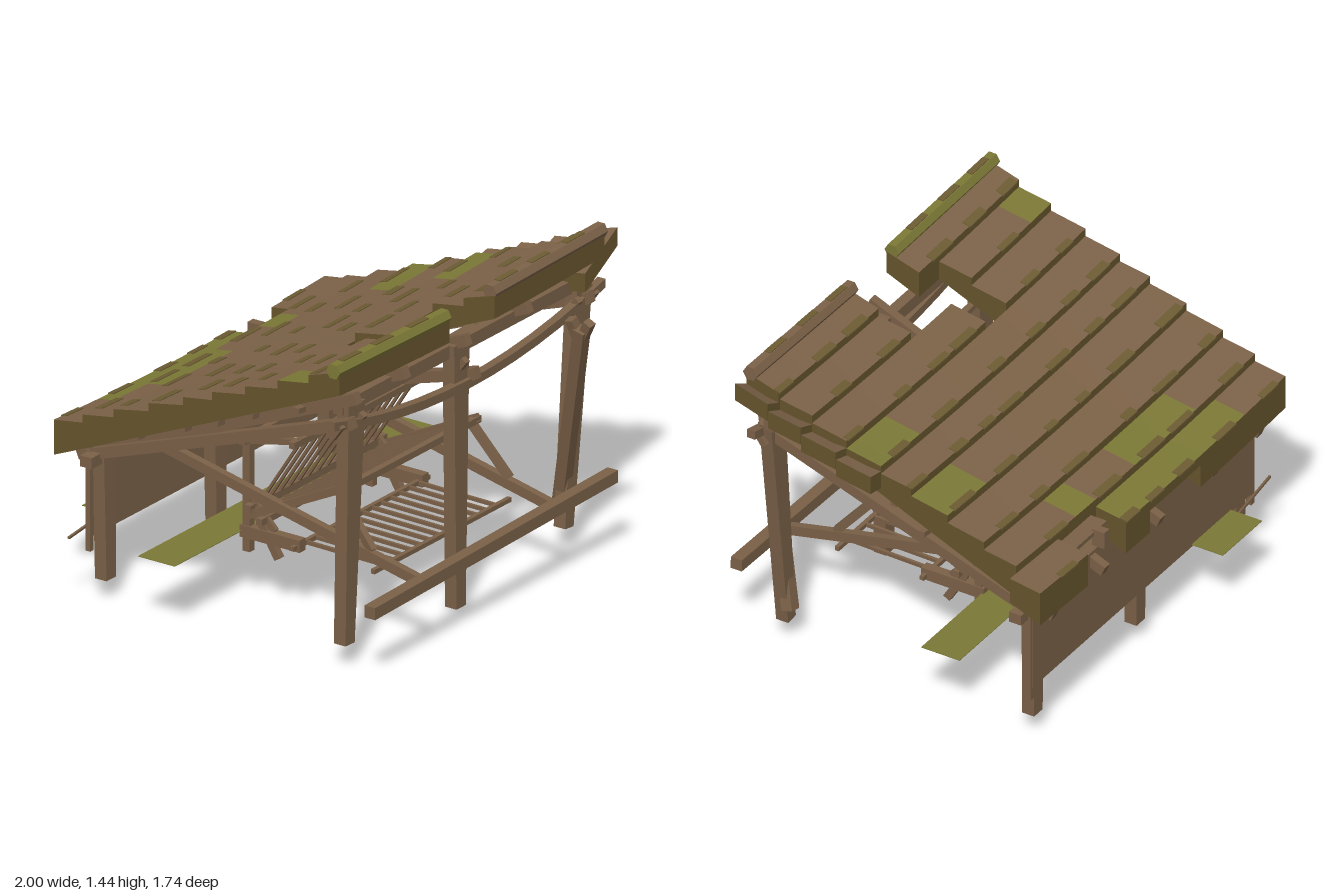
import * as THREE from 'three';

export function createModel() {
  const model = new THREE.Group();
  const mat = (name, color, side = THREE.FrontSide) => {
    const m = new THREE.MeshStandardMaterial({ color, side });
    m.name = name;
    return m;
  };
  const wood = mat('weathered wood', 0x7a6047);
  const roofTop = mat('roof shingle', 0x7c6248);
  const edge = mat('roof edge', 0x65532c);
  const under = mat('roof underside', 0x5c4833);
  const moss = mat('moss', 0x7b7836, THREE.DoubleSide);
  const stain = mat('moss stain', 0x6c5c33);

  const add = (name, geo, material) => {
    const m = new THREE.Mesh(geo, material);
    m.name = name;
    model.add(m);
    return m;
  };
  const V = (p) => new THREE.Vector3(...p);
  const UP = new THREE.Vector3(0, 1, 0);

  // Straight timber between two points; "taper" scales the width at the start
  function beam(name, a, b, w, d, taper = 1) {
    const A = V(a), B = V(b), dir = B.clone().sub(A);
    const geo = new THREE.BoxGeometry(w, dir.length(), d);
    const p = geo.attributes.position;
    for (let i = 0; i < p.count; i++) if (p.getY(i) < 0) p.setX(i, p.getX(i) * taper);
    geo.computeVertexNormals();
    const m = add(name, geo, wood);
    m.position.copy(A).add(B).multiplyScalar(0.5);
    m.quaternion.setFromUnitVectors(UP, dir.normalize());
  }

  // Lengthwise timber that hangs down in the middle
  function saggingBeam(name, x0, x1, y, z, h, d, sag) {
    const geo = new THREE.BoxGeometry(x1 - x0, h, d, 12, 1, 1);
    const p = geo.attributes.position;
    for (let i = 0; i < p.count; i++) {
      const t = p.getX(i) / ((x1 - x0) / 2);
      p.setY(i, p.getY(i) - sag * (1 - t * t));
    }
    geo.computeVertexNormals();
    add(name, geo, wood).position.set((x0 + x1) / 2, y, z);
  }

  // Roof height rules
  const topY = (z) => 0.82 + (z + 0.79) * 0.398;
  const bottomY = (z) => 0.66 + (z + 0.79) * 0.425;
  const sagY = (x) => -0.025 * (1 - x * x) + 0.01;

  // Sloped slab bent along x; heights are [front top, back top, front bottom, back bottom]
  function slab(name, x0, x1, z0, z1, h, materials, rise = sagY) {
    const n = Math.max(1, Math.round((x1 - x0) / 0.2));
    const geo = new THREE.BoxGeometry(x1 - x0, 1, 1, n, 1, 1);
    geo.translate((x0 + x1) / 2, 0, 0);
    const p = geo.attributes.position;
    for (let i = 0; i < p.count; i++) {
      const front = p.getZ(i) > 0, top = p.getY(i) > 0;
      p.setZ(i, front ? z0 : z1);
      p.setY(i, h[(top ? 0 : 2) + (front ? 0 : 1)] + rise(p.getX(i), p.getZ(i)));
    }
    geo.computeVertexNormals();
    add(name, geo, materials);
  }
  const skin = (top) => [edge, edge, top, under, edge, edge];

  // Overlapping roof courses: [x start, x end, mossy, thickness where thin]
  const rowZ = [0.69, 0.53, 0.37, 0.2, 0.03, -0.12, -0.3, -0.48, -0.64, -0.79];
  const rows = [
    [[-0.99, -0.2], [0.12, 0.91]],
    [[-0.99, -0.83, 1], [-0.83, -0.36], [0.12, 0.9]],
    [[-0.99, -0.36], [-0.2, 0.9]],
    [[-0.99, 0.59], [0.59, 0.9, 1]],
    [[-0.99, 0.9]],
    [[-0.99, 0.59], [0.59, 0.9, 1]],
    [[-0.99, 0.9]],
    [[-0.99, -0.52], [-0.52, -0.04, 1], [-0.04, 0.27], [0.27, 0.43, 1], [0.43, 0.9]],
    [[-0.99, -0.67], [-0.67, -0.32, 1], [-0.32, 0.08, 1, 0.05], [0.08, 0.27, 1], [0.57, 0.95]],
  ];
  // Broken front corner: kicked up at the front, flattening towards the back
  const kick = (x, z) => (x - 1) * (0.2 + 0.38 * (z - 0.03) / 0.66);

  let seed = 7;
  const rnd = () => (seed = (seed * 16807) % 2147483647) / 2147483647;
  rows.forEach((row, r) => {
    const z0 = rowZ[r], z1 = rowZ[r + 1];
    const t0 = topY(z0) - (r ? 0.037 : 0.015), t1 = topY(z1);
    for (const [x0, x1, mossy, thin] of row) {
      slab('roofCourse', x0, x1, z0, z1,
        [t0, t1, thin ? t0 - thin : bottomY(z0), thin ? t1 - thin : bottomY(z1)], skin(mossy ? moss : roofTop));
      // Thin stains along the lower lip
      for (let x = x0 + 0.02 + rnd() * 0.1; x < x1 - 0.08; x += 0.2 + rnd() * 0.2) {
        const zs = z1 + 0.022 + rnd() * 0.012, ys = t1 + ((t0 - t1) * (zs - z1)) / (z0 - z1);
        slab('mossStain', x, Math.min(x1, x + 0.08 + rnd() * 0.1), zs, z1 - 0.006,
          [ys + 0.004, t1 + 0.002, ys - 0.002, t1 - 0.006], stain);
      }
    }
    if (r < 4) slab('brokenRoofPanel', 0.77, 1 - r * 0.006, z0, z1, [t0, t1, t0 - 0.085, t1 - 0.085], skin(roofTop), kick);
  });

  // Ridge caps along the high edge, with a few stains
  for (const [x0, x1, m] of [[-1, -0.2, moss], [0.12, 0.92, roofTop]]) {
    const geo = new THREE.CylinderGeometry(0.036, 0.036, x1 - x0, 6).toNonIndexed();
    geo.rotateZ(Math.PI / 2);
    geo.computeVertexNormals();
    const cap = add('ridgeCap', geo, m);
    cap.position.set((x0 + x1) / 2, 1.398, 0.665);
    cap.rotation.z = x0 < 0 ? -0.02 : 0.02;
    for (const u of [-0.28, -0.05, 0.2]) {
      const patch = new THREE.Mesh(new THREE.BoxGeometry(0.13, 0.004, 0.03), stain);
      patch.name = 'ridgeStain';
      patch.position.set(u, 0.035, 0);
      cap.add(patch);
    }
  }

  // Rafters and the tie beams below them
  for (const x of [-0.83, -0.48, -0.04, 0.4, 0.8])
    beam('rafter', [x, 1.23, 0.67], [x, 0.63, -0.77], 0.04, 0.05);
  for (const [x, y] of [[-0.85, 1.12], [0.036, 1.05], [0.85, 1.12]])
    beam('tieBeam', [x, y, 0.66], [x, 0.66, -0.68], 0.05, 0.05);

  // Lengthwise timbers
  add('frontPlate', new THREE.BoxGeometry(1.76, 0.06, 0.05), wood).position.set(0.03, 1.17, 0.58);
  add('backPlate', new THREE.BoxGeometry(1.88, 0.05, 0.06), wood).position.set(0, 0.65, -0.66);
  saggingBeam('saggingFrontBeam', -0.97, 0.97, 1.14, 0.63, 0.04, 0.04, 0.13);
  for (const [y, z, end] of [[1.13, 0.4, 0.88], [1.045, 0.16, 0.89], [0.97, -0.02, 0.88], [0.905, -0.19, 0.93], [0.81, -0.43, 0.88]])
    saggingBeam('purlin', -0.9, end, y, z, 0.025, 0.03, 0.05);
  // Ledge boards showing in the broken back eave
  add('eaveBoard', new THREE.BoxGeometry(0.26, 0.02, 0.09), wood).position.set(0.44, 0.8, -0.675);
  add('eavePeg', new THREE.BoxGeometry(0.04, 0.08, 0.06), wood).position.set(0.39, 0.78, -0.74);

  // Front posts
  beam('frontPost', [-0.83, 0.1, 0.6], [-0.78, 1.18, 0.6], 0.12, 0.06, 0.55);
  beam('frontPost', [-0.035, 0, 0.6], [-0.03, 1.2, 0.6], 0.11, 0.06, 0.6);
  beam('frontPost', [0.74, 0.1, 0.6], [0.85, 1.16, 0.6], 0.11, 0.06, 0.55);
  beam('fallenPost', [0.77, 0.17, 0.56], [0.58, 1.1, 0.81], 0.055, 0.055);
  beam('fallenPostFork', [0.6, 1.03, 0.79], [0.58, 1.14, 0.85], 0.04, 0.04);
  beam('fallenPostFork', [0.6, 1.03, 0.79], [0.57, 1.14, 0.76], 0.04, 0.04);
  for (const x of [-0.92, -0.76, -0.03, 0.78, 0.9])
    beam('peg', [x, 1.06, 0.6], [x, 1.13, 0.65], 0.03, 0.03);

  // Back posts and wall
  for (const x of [-0.82, -0.03, 0.78])
    beam('backPost', [x, 0.09, -0.645], [x, 0.68, -0.65], 0.09, 0.06, 0.75);
  add('backWall', new THREE.BoxGeometry(1.75, 0.42, 0.02), wood).position.set(0, 0.49, -0.695);
  for (const x of [-0.872, 0.872]) beam('wallStud', [x, 0.22, -0.69], [x, 0.68, -0.69], 0.025, 0.025);

  // Low front rail and slanting braces
  beam('lowRail', [-0.91, 0.31, 0.79], [0.83, 0.35, 0.79], 0.055, 0.055);
  for (const x of [-0.53, 0.45]) beam('brace', [x, 0.32, 0.79], [x, 0.64, -0.66], 0.035, 0.045);

  // Feeding rack frame, mirrored about its middle
  const mid = -0.04;
  for (const s of [-1, 1]) {
    const x = mid + s * 0.44;
    beam('rackPost', [x, 0.22, -0.15], [x, 0.76, -0.15], 0.035, 0.035);
    beam('rackArm', [x, 0.72, -0.15], [x, 0.78, 0.12], 0.025, 0.025);
    beam('troughSide', [x + s * 0.03, 0.645, 0.38], [x + s * 0.03, 0.4, -0.12], 0.03, 0.035);
    beam('troughLeg', [x + s * 0.03, 0.62, 0.34], [x + s * 0.05, 0.4, 0.53], 0.03, 0.035);
    beam('troughFoot', [x, 0.22, 0.01], [x, 0.45, -0.13], 0.03, 0.035);
    beam('rackFoot', [x, 0.31, 0.13], [x, 0.31, -0.18], 0.045, 0.055);
    beam('troughStay', [x, 0.46, -0.13], [x, 0.34, -0.01], 0.02, 0.03);
  }
  const rails = [['rackTopRail', 0.775, 0.11, 0.03], ['rackBackRail', 0.73, -0.15, 0.03], ['rackLowRail', 0.43, -0.12, 0.035],
    ['troughFrontRail', 0.635, 0.37, 0.03], ['troughLowRail', 0.385, -0.06, 0.03],
    ['floorRail', 0.305, 0.53, 0.02], ['floorRail', 0.305, 0.11, 0.02]];
  for (const [name, y, z, t] of rails) beam(name, [mid - 0.49, y, z], [mid + 0.49, y, z], t, t);

  // Thin slats of the rack, the trough and the fallen floor grating
  for (let i = 0; i < 13; i++) {
    const x = mid - 0.4 + i * 0.0667;
    beam('rackBar', [x, 0.77, 0.1], [x, 0.43, -0.12], 0.014, 0.012);
    beam('troughSlat', [x + 0.015, 0.63, 0.36], [x + 0.015, 0.41, -0.1], 0.014, 0.014);
    beam('floorSlat', [x, 0.305, 0.54], [x + 0.01, 0.305, 0.1], 0.014, 0.016);
  }

  // Flat mossy boards and a loose stick
  const board = (x0, x1, z0, z1) => add('mossyBoard', new THREE.BoxGeometry(x1 - x0, 0.003, z1 - z0), moss)
    .position.set((x0 + x1) / 2, 0.31, (z0 + z1) / 2);
  board(-0.98, 0.9, -0.36, -0.17);
  board(-0.67, -0.36, -0.875, -0.72);
  beam('looseStick', [-0.5, 0.305, -0.78], [-0.98, 0.305, -0.72], 0.01, 0.01);

  return model;
}
